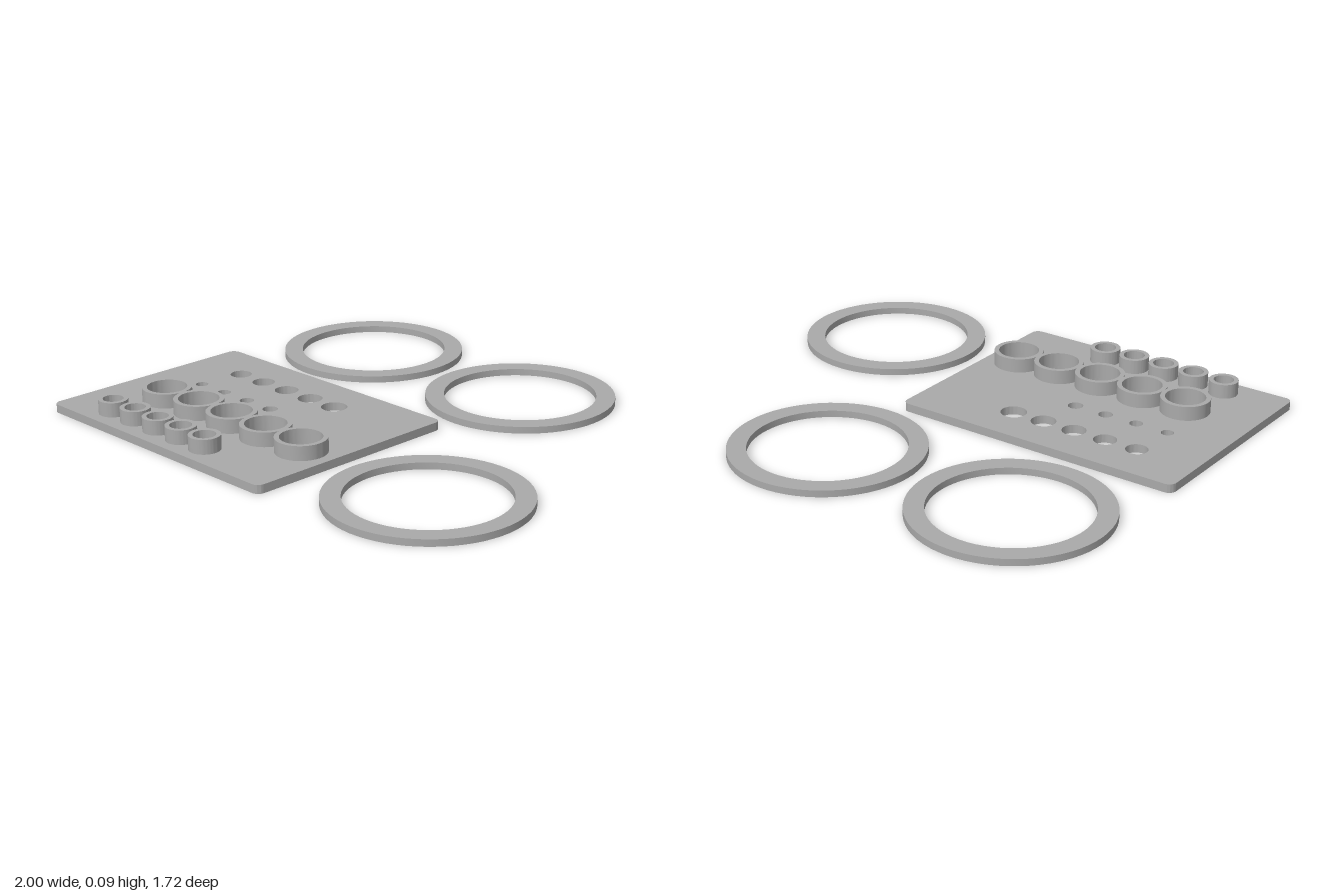
import * as THREE from 'three';
import { toCreasedNormals } from 'three/addons/utils/BufferGeometryUtils.js';

const PLATE_H = 0.033, TUBE_TOP = 0.089, RING_H = 0.026;

export function createModel() {
  const model = new THREE.Group();
  model.name = 'sizingGauge';
  const grey = new THREE.MeshStandardMaterial({ color: 0xaaaaaa });
  grey.name = 'plainGrey';

  // Lay a flat outline on the ground plane (shape y = -z) and give it height
  function slab(name, shape, y, height) {
    const geo = new THREE.ExtrudeGeometry(shape, { depth: height, bevelEnabled: false, curveSegments: 32 });
    geo.rotateX(-Math.PI / 2);
    const mesh = new THREE.Mesh(toCreasedNormals(geo, 0.6), grey);
    mesh.name = name;
    mesh.position.y = y;
    model.add(mesh);
    return mesh;
  }

  const hole = (x, z, r) => new THREE.Path().absarc(x, -z, r, 0, Math.PI * 2, true);

  function annulus(name, x, z, outer, inner, y, height) {
    const shape = new THREE.Shape().absarc(0, 0, outer, 0, Math.PI * 2, false);
    shape.holes.push(hole(0, 0, inner));
    const mesh = slab(name, shape, y, height);
    mesh.position.x = x;
    mesh.position.z = z;
  }

  // Rows of graded holes; rows with a wall get raised tubes
  const rows = [
    { name: 'largeHole', x: -0.749, z: 0.131, step: 0.135, count: 5, r: 0.042, grow: 0.002 },
    { name: 'smallHole', x: -0.766, z: 0.318, step: 0.134, count: 4, r: 0.024, grow: 0.0017 },
    { name: 'wideTube', x: -0.717, z: 0.529, step: 0.19, count: 5, r: 0.077, grow: 0.0006, wall: 0.0185 },
    { name: 'narrowTube', x: -0.753, z: 0.757, step: 0.1337, count: 5, r: 0.039, grow: 0.0008, wall: 0.0175 },
  ];

  // Plate outline with rounded corners
  const x0 = -1, x1 = 0.182, y0 = -0.857, y1 = 0.047, c = 0.03;
  const plate = new THREE.Shape();
  plate.absarc(x1 - c, y0 + c, c, -Math.PI / 2, 0, false);
  plate.absarc(x1 - c, y1 - c, c, 0, Math.PI / 2, false);
  plate.absarc(x0 + c, y1 - c, c, Math.PI / 2, Math.PI, false);
  plate.absarc(x0 + c, y0 + c, c, Math.PI, Math.PI * 1.5, false);
  plate.closePath();

  for (const row of rows) {
    for (let i = 0; i < row.count; i++) {
      const x = row.x + i * row.step, r = row.r + i * row.grow;
      plate.holes.push(hole(x, row.z, r));
      if (row.wall) annulus(row.name + (i + 1), x, row.z, r + row.wall, r, PLATE_H, TUBE_TOP - PLATE_H);
    }
  }
  slab('gaugePlate', plate, 0, PLATE_H);

  // Three loose flat rings
  [[-0.632, -0.493], [0.179, -0.493], [0.632, 0.489]].forEach(([x, z], i) =>
    annulus('flatRing' + (i + 1), x, z, 0.368, 0.295, 0, RING_H));

  return model;
}
